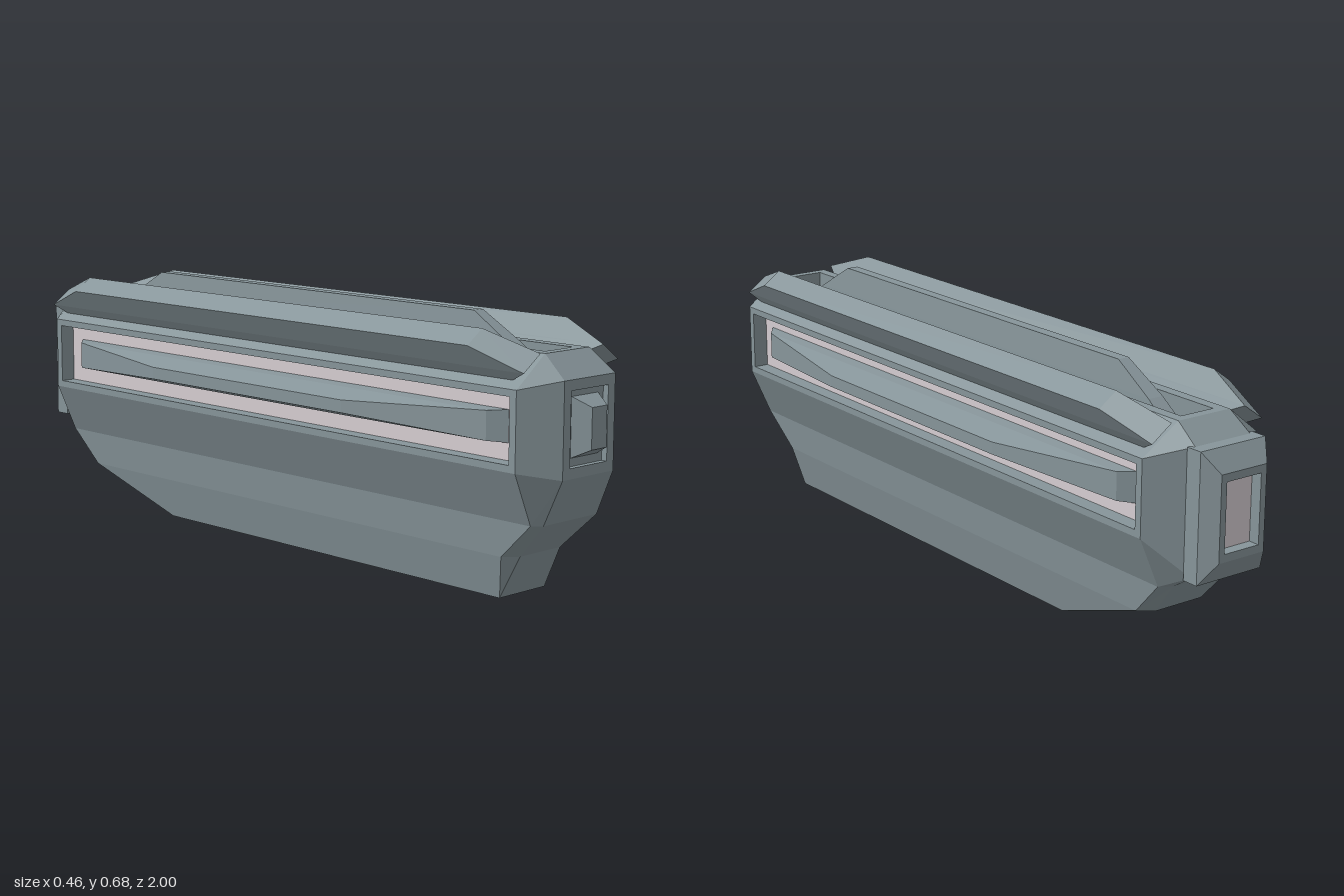
import * as THREE from 'three';

const hullMat = new THREE.MeshStandardMaterial({ color: 0x87959a });
hullMat.name = 'slateGrey';
const lightMat = new THREE.MeshStandardMaterial({ color: 0xd6ced2 });
lightMat.name = 'paleGrey';

// Flat-shaded skin through rings of points; skip(level, side) leaves a face out
function loft(name, rings, { bottom = false, top = false, skip = () => false } = {}) {
  const pos = [];
  const tri = (a, b, c) => pos.push(...a, ...b, ...c);
  const n = rings[0].length;
  for (let k = 0; k < rings.length - 1; k++) {
    for (let i = 0; i < n; i++) {
      if (skip(k, i)) continue;
      const j = (i + 1) % n, a = rings[k], b = rings[k + 1];
      tri(a[i], a[j], b[j]);
      tri(a[i], b[j], b[i]);
    }
  }
  const last = rings[rings.length - 1];
  for (let i = 1; i < n - 1; i++) {
    if (bottom) tri(rings[0][0], rings[0][i + 1], rings[0][i]);
    if (top) tri(last[0], last[i], last[i + 1]);
  }
  const g = new THREE.BufferGeometry();
  g.setAttribute('position', new THREE.Float32BufferAttribute(pos, 3));
  g.computeVertexNormals();
  const m = new THREE.Mesh(g, hullMat);
  m.name = name;
  return m;
}

// Tapered block rising along y; each level is [height, halfWidth, zFront, zBack]
function block(name, levels, top = true) {
  const rings = levels.map(([y, w, f, b]) => [[w, y, f], [w, y, b], [-w, y, b], [-w, y, f]]);
  return loft(name, rings, { bottom: true, top });
}

// Rectangular frame in the XY plane facing +z, with a sunken floor
function recess(name, w, h, iw, ih, depth, floorMat) {
  const rect = (a, b, z) => [[-a / 2, -b / 2, z], [a / 2, -b / 2, z], [a / 2, b / 2, z], [-a / 2, b / 2, z]];
  const group = new THREE.Group();
  group.name = name;
  group.add(loft(name + 'Frame', [rect(w, h, 0), rect(iw, ih, 0), rect(iw, ih, -depth)]));
  const floor = new THREE.Mesh(new THREE.PlaneGeometry(iw, ih), floorMat);
  floor.name = name + 'Floor';
  floor.position.z = -depth;
  group.add(floor);
  return group;
}

export function createModel() {
  const model = new THREE.Group();
  model.name = 'facetedPod';
  const place = (o, x, y, z, rx = 0, ry = 0, rz = 0) => {
    o.position.set(x, y, z);
    o.rotation.set(rx, ry, rz);
    model.add(o);
  };

  // Hull levels: front [x, y, z], side [x, y, zFront, zBack], back [x, y, z]
  const levels = [
    [[0.082, 0, 0.775], [0.082, 0, 0.775, -0.45], [0.082, 0, -0.45]],
    [[0.073, 0.11, 0.83], [0.108, 0.11, 0.80, -0.76], [0.073, 0.11, -0.79]],
    [[0.097, 0.203, 0.92], [0.12, 0.203, 0.90, -0.85], [0.09, 0.203, -0.87]],
    [[0.092, 0.317, 0.97], [0.178, 0.335, 0.90, -0.85], [0.085, 0.24, -0.925]],
    [[0.092, 0.55, 0.97], [0.178, 0.53, 0.90, -0.85], [0.085, 0.56, -0.925]],
    [[0.08, 0.605, 0.90], [0.08, 0.605, 0.90, -0.86], [0.08, 0.605, -0.86]],
  ];
  const rings = levels.map(([f, s, b]) => [
    f, [s[0], s[1], s[2]], [s[0], s[1], s[3]], b,
    [-b[0], b[1], b[2]], [-s[0], s[1], s[3]], [-s[0], s[1], s[2]], [-f[0], f[1], f[2]],
  ]);
  model.add(loft('hull', rings, { bottom: true, skip: (k, i) => k === 3 && [1, 5, 7].includes(i) }));

  // Side recesses, horizontal fins and diagonal fins
  for (const s of [1, -1]) {
    const side = s > 0 ? 'left' : 'right';
    place(recess(side + 'Recess', 1.75, 0.195, 1.71, 0.16, 0.042, lightMat),
      s * 0.178, 0.4325, 0.025, 0, s * Math.PI / 2, 0);
    place(block(side + 'Fin', [
      [0.13, 0.04, 0.85, -0.79], [0.168, 0.036, 0.80, -0.75], [0.23, 0.016, 0.38, -0.35],
    ]), 0, 0.434, 0, 0, 0, -s * Math.PI / 2);
    place(block(side + 'DiagonalFin', [
      [-0.03, 0.035, 0.82, -0.78], [0, 0.035, 0.87, -0.83],
      [0.026, 0.035, 0.915, -0.875], [0.088, 0.031, 0.77, -0.725],
    ]), s * 0.127, 0.568, 0, 0, 0, -s * 0.616);
  }

  // Top recess, raised rear step and top fin
  place(recess('topRecess', 0.16, 1.76, 0.1, 1.71, 0.06, lightMat), 0, 0.605, 0.02, -Math.PI / 2);
  const step = new THREE.Mesh(new THREE.BoxGeometry(0.1, 0.02, 0.105), hullMat);
  step.name = 'topRearStep';
  place(step, 0, 0.55, -0.782);
  place(block('topFin', [[0.53, 0.026, 0.85, -0.79], [0.605, 0.022, 0.74, -0.69], [0.675, 0.016, 0.62, -0.57]]), 0, 0, 0);

  // Nose panel with a bevelled stud
  place(recess('noseRecess', 0.184, 0.233, 0.134, 0.182, 0.015, hullMat), 0, 0.4335, 0.97);
  place(block('noseStud', [[0.95, 0.05, -0.36, -0.51], [1, 0.027, -0.385, -0.485]]), 0, 0, 0, Math.PI / 2);

  // Tail collar with a sunken pale panel
  place(block('tailCollar', [
    [0.915, 0.1, 0.56, 0.235], [0.96, 0.1, 0.56, 0.235], [1, 0.07, 0.51, 0.295],
  ], false), 0, 0, 0, -Math.PI / 2);
  place(recess('tailRecess', 0.14, 0.215, 0.106, 0.175, 0.03, lightMat), 0, 0.4025, -1, 0, Math.PI);

  return model;
}
